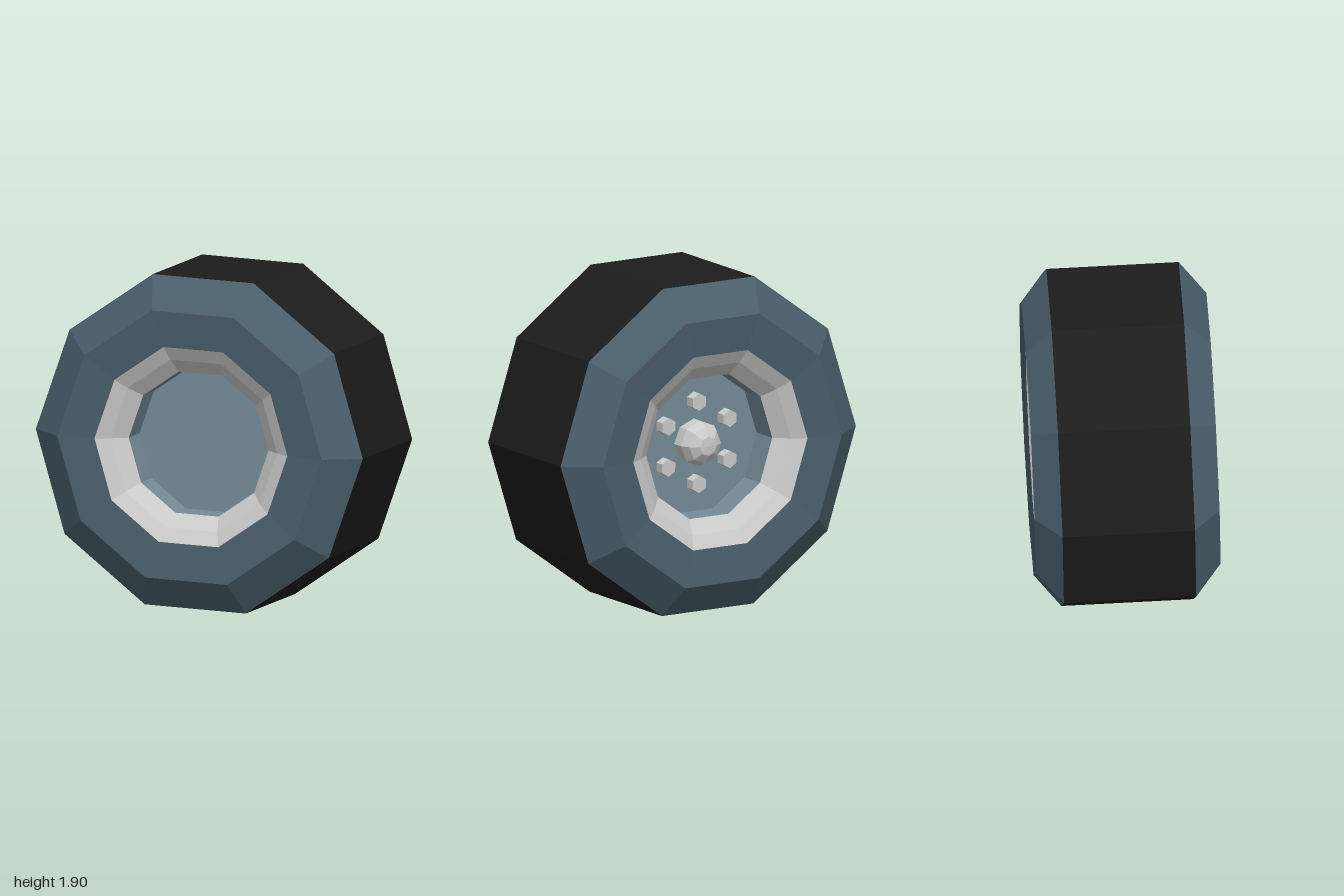
import * as THREE from 'three';

const SIDES = 10;
const material = (color) => new THREE.MeshStandardMaterial({ color, flatShading: true });

// Revolve a [radius, depth] profile around the z axis, with a corner on +x
function ring(name, profile, mat, sides = SIDES) {
  const points = profile.map(([r, d]) => new THREE.Vector2(r, d));
  const geometry = new THREE.LatheGeometry(points, sides, Math.PI / 2);
  geometry.rotateX(Math.PI / 2);
  const mesh = new THREE.Mesh(geometry, mat);
  mesh.name = name;
  return mesh;
}

export function createModel() {
  const rubber = material(0x1c1c1c);
  const slate = material(0x4b5f6c);
  const steel = material(0x768b98);
  const grey = material(0xcccccc);

  const model = new THREE.Group();
  model.name = 'wheel';

  // The wheel leans a little off its axis
  const wheel = new THREE.Group();
  wheel.name = 'wheelAssembly';
  wheel.position.y = 0.95;
  wheel.rotation.set(-0.028, -0.045, -0.016);
  model.add(wheel);

  wheel.add(ring('tread', [[0.983, -0.37], [0.983, 0.37]], rubber));

  // Profiles of one face, from the tread inwards
  const face = [
    ['Sidewall', slate, [[0.983, 0.37], [0.795, 0.517], [0.58, 0.495]]],
    ['Rim', grey, [[0.58, 0.495], [0.5, 0.45], [0.42, 0.38]]],
    ['Disc', steel, [[0.42, 0.38], [0.42, 0.22], [0, 0.22]]],
  ];
  for (const [part, mat, profile] of face) {
    wheel.add(ring('front' + part, profile, mat));
    // Mirrored and reversed so that the back faces outwards
    const back = profile.map(([r, d]) => [r, -d]).reverse();
    wheel.add(ring('back' + part, back, mat));
  }

  // Hub cap on the back disc
  const hub = [[0, -0.38], [0.055, -0.375], [0.105, -0.34], [0.13, -0.29], [0.13, -0.22]];
  wheel.add(ring('hub', hub, grey, 8));

  // Six hexagonal bolts around the hub
  const boltGeometry = new THREE.CylinderGeometry(0.05, 0.05, 0.07, 6);
  boltGeometry.rotateX(Math.PI / 2);
  const bolts = new THREE.Group();
  bolts.name = 'bolts';
  for (let i = 0; i < 6; i++) {
    const angle = Math.PI / 2 + (i * Math.PI) / 3;
    const bolt = new THREE.Mesh(boltGeometry, grey);
    bolt.name = 'bolt';
    bolt.position.set(0.235 * Math.cos(angle), 0.235 * Math.sin(angle), -0.245);
    bolts.add(bolt);
  }
  wheel.add(bolts);

  return model;
}
